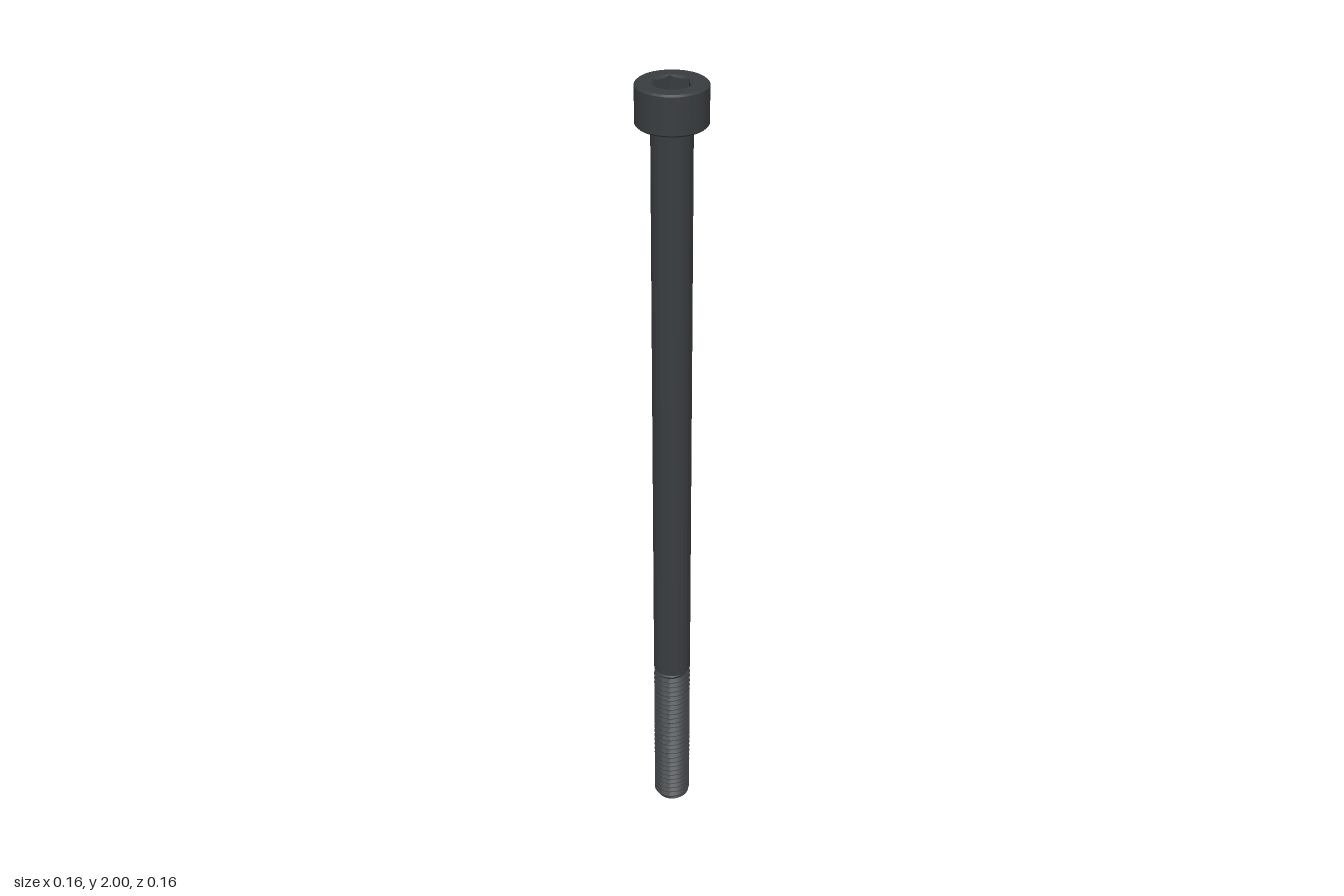
import * as THREE from 'three';
import { toCreasedNormals } from 'three/addons/utils/BufferGeometryUtils.js';

const TAU = Math.PI * 2;
const SHANK_R = 0.0465, ROOT_R = 0.038, PITCH = 0.0152, THREAD_TOP = 0.43;
const HEAD_R = 0.0805, HEAD_Y = 1.908, TOP = 2;
const SOCKET_R = 0.0455, SOCKET_APOTHEM = 0.0388, SOCKET_FLOOR = 1.952;

// Surface of stacked rings; point(row, angle) returns [radius, y]. Rows going up face outward.
function ringSurface(rows, cols, point) {
  const positions = [], index = [];
  for (let j = 0; j < rows; j++) {
    for (let i = 0; i <= cols; i++) {
      const a = (i / cols) * TAU;
      const [r, y] = point(j, a);
      positions.push(r * Math.sin(a), y, r * Math.cos(a));
      if (j < rows - 1 && i < cols) {
        const p = j * (cols + 1) + i, q = p + cols + 1;
        index.push(p, p + 1, q + 1, p, q + 1, q);
      }
    }
  }
  const g = new THREE.BufferGeometry();
  g.setAttribute('position', new THREE.Float32BufferAttribute(positions, 3));
  g.setIndex(index);
  return toCreasedNormals(g, 0.45);
}

// Plain turned surface from a profile of [radius, y] points
const turned = (profile) => ringSurface(profile.length, 72, (j) => profile[j]);

// Helical thread: four profile points per pitch, clipped to the threaded length
function threadGeometry() {
  const profile = [[0, ROOT_R], [0.12, ROOT_R], [0.5, SHANK_R], [0.62, SHANK_R]];
  const turns = Math.ceil(THREAD_TOP / PITCH) + 2;
  return ringSurface(turns * 4 + 1, 48, (j, a) => {
    if (j === 0) return [0, 0]; // closes the tip
    const [offset, r] = profile[j % 4];
    const raw = PITCH * (Math.floor(j / 4) + offset + a / TAU - 1.5);
    const y = THREE.MathUtils.clamp(raw, 0, THREAD_TOP);
    return [Math.min(r, ROOT_R + Math.min(y, THREAD_TOP - y)), y];
  });
}

// Hexagonal recess with a conical lead-in, from rim down to floor
function socketGeometry() {
  return ringSurface(4, 72, (j, a) => {
    const sector = TAU / 6;
    const phi = ((a + sector / 2) % sector) - sector / 2;
    const hex = SOCKET_APOTHEM / Math.cos(phi);
    return [
      [SOCKET_R, TOP],
      [hex, TOP - (SOCKET_R - hex) * 0.7],
      [hex, SOCKET_FLOOR],
      [0, SOCKET_FLOOR],
    ][j];
  });
}

export function createModel() {
  const group = new THREE.Group();
  group.name = 'socketHeadBolt';
  const material = new THREE.MeshStandardMaterial({ color: 0x3a3d40 });
  const add = (name, geometry) => {
    const mesh = new THREE.Mesh(geometry, material);
    mesh.name = name;
    group.add(mesh);
  };

  // Smooth shank, tapering to the thread root
  add('shank', turned([
    [ROOT_R, THREAD_TOP], [SHANK_R, THREAD_TOP + 0.006], [SHANK_R, HEAD_Y],
  ]));

  add('thread', threadGeometry());

  // Cylindrical head with chamfered edges
  add('head', turned([
    [SHANK_R, HEAD_Y], [HEAD_R - 0.004, HEAD_Y], [HEAD_R, HEAD_Y + 0.004],
    [HEAD_R, TOP - 0.004], [HEAD_R - 0.004, TOP], [SOCKET_R, TOP],
  ]));

  add('hexSocket', socketGeometry());

  return group;
}
